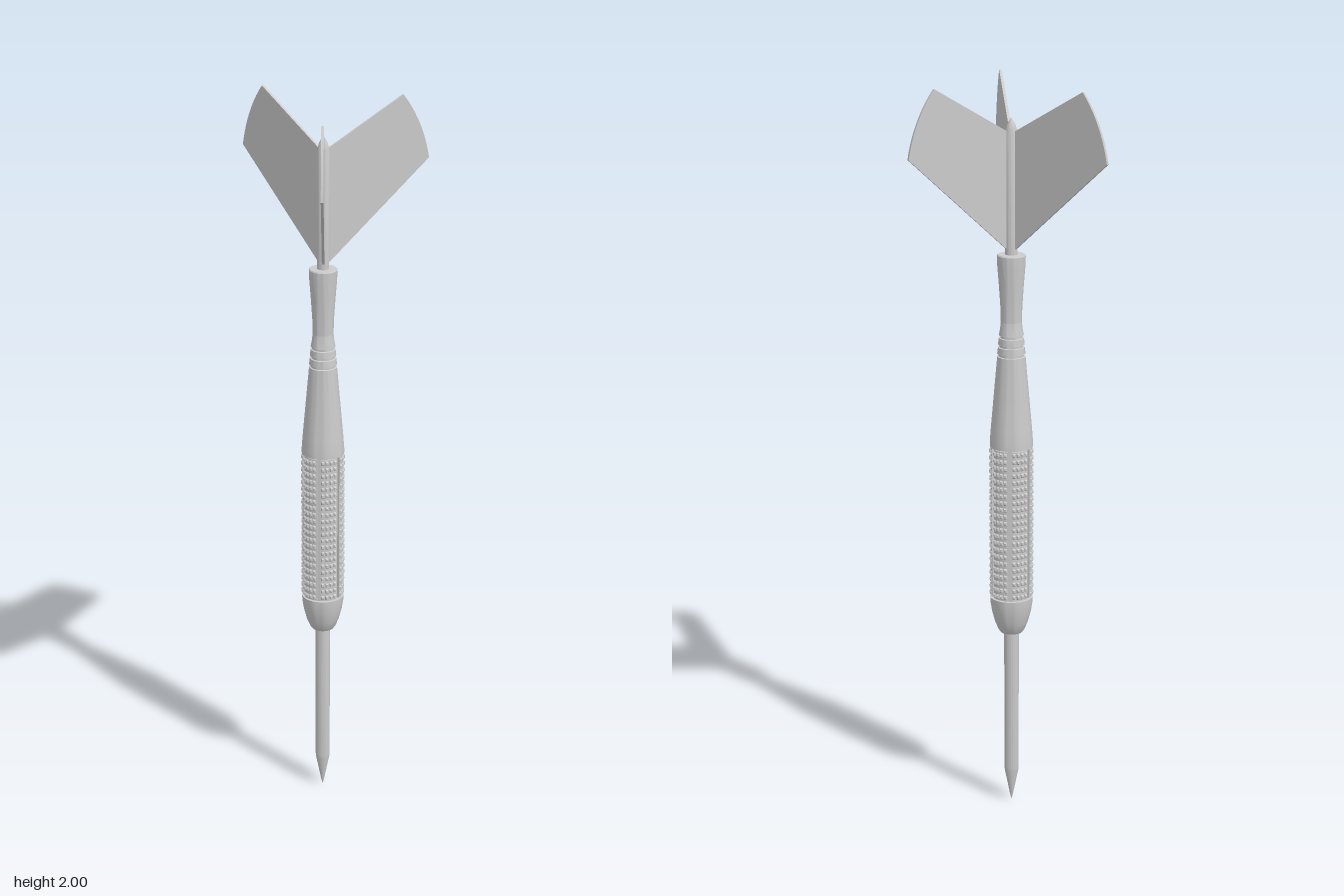
import * as THREE from 'three';
import { mergeGeometries, toCreasedNormals } from 'three/addons/utils/BufferGeometryUtils.js';

const material = new THREE.MeshStandardMaterial({ color: 0xcccccc });
const AXIS_X = 0.006, AXIS_Z = -0.063;

function part(parent, name, geometry) {
  const mesh = new THREE.Mesh(geometry, material);
  mesh.name = name;
  parent.add(mesh);
  return mesh;
}

// turned part from [radius, height] pairs, listed from bottom to top
function turned(points, sides = 40) {
  const profile = points.map(([r, y]) => new THREE.Vector2(r, y));
  return toCreasedNormals(new THREE.LatheGeometry(profile, sides), 0.5);
}

// six knurled panels: a curved plate each, covered by rows of small pyramids
function gripPanels() {
  const panels = 6, rows = 22, columns = 4;
  const y0 = 0.605, y1 = 1.025, arc = 0.84;
  const pieces = [];
  const pitch = (y1 - y0) / rows;
  for (let p = 0; p < panels; p++) {
    const middle = ((p + 0.5) / panels) * Math.PI * 2;
    const plate = new THREE.Shape();
    plate.absarc(0, 0, 0.055, -arc / 2, arc / 2, false);
    plate.absarc(0, 0, 0.048, arc / 2, -arc / 2, true);
    const slab = new THREE.ExtrudeGeometry(plate, { depth: y1 - y0, bevelEnabled: false, curveSegments: 6 });
    slab.rotateX(-Math.PI / 2).rotateY(middle - Math.PI / 2).translate(0, y0, 0);
    pieces.push(slab);
    for (let row = 0; row < rows; row++) {
      for (let c = 0; c < columns; c++) {
        const stud = new THREE.CylinderGeometry(0.003, 0.0075, 0.006, 4, 1).toNonIndexed();
        stud.rotateY(Math.PI / 4).rotateX(Math.PI / 2);
        stud.scale(1, 1.3, 1).translate(0, 0, 0.0565);
        stud.rotateY(middle + ((c + 0.5) / columns - 0.5) * arc);
        stud.translate(0, y0 + (row + 0.5) * pitch, 0);
        pieces.push(stud);
      }
    }
  }
  const merged = mergeGeometries(pieces);
  merged.computeVertexNormals();
  return merged;
}

// thin vane: slanted lower edge, bowed outer edge, sloping top
function finGeometry(thickness) {
  const s = new THREE.Shape();
  s.moveTo(0, 1.555);
  s.lineTo(0.02, 1.57);
  s.lineTo(0.315, 1.825);
  s.quadraticCurveTo(0.297, 1.925, 0.236, 2.0);
  s.lineTo(0.012, 1.875);
  s.lineTo(0, 1.875);
  const g = new THREE.ExtrudeGeometry(s, { depth: thickness, bevelEnabled: false, curveSegments: 10 });
  return g.translate(0, 0, -thickness / 2);
}

export function createModel() {
  const model = new THREE.Group();
  model.name = 'dart';
  const body = new THREE.Group();
  body.name = 'body';
  body.position.set(AXIS_X, 0, AXIS_Z);
  model.add(body);

  // needle
  part(body, 'point', turned([[0, 0], [0.004, 0.015], [0.019, 0.09], [0.02, 0.1], [0.02, 0.52]], 24));

  // rounded nose and grooved barrel core
  part(body, 'nose', turned([
    [0, 0.5], [0.03, 0.5], [0.036, 0.508], [0.045, 0.53], [0.053, 0.56], [0.057, 0.585], [0.058, 0.602], [0.045, 0.602],
  ]));
  part(body, 'barrelCore', turned([[0.049, 0.595], [0.049, 1.035]]));
  part(body, 'gripPanels', gripPanels());

  // tapering neck with three cut rings
  const neck = [[0.045, 1.028], [0.058, 1.028], [0.058, 1.04], [0.055, 1.08]];
  for (const y of [1.28, 1.305, 1.33]) {
    const r = 0.055 - (y - 1.08) * 0.087;
    neck.push([r, y - 0.004], [r - 0.004, y - 0.003], [r - 0.004, y + 0.003], [r, y + 0.004]);
  }
  neck.push([0.03, 1.35], [0.028, 1.37]);
  part(body, 'neck', turned(neck));

  // flared collar holding the shaft
  part(body, 'collar', turned([
    [0.028, 1.37], [0.029, 1.41], [0.033, 1.47], [0.037, 1.52], [0.038, 1.548], [0.036, 1.551], [0, 1.551],
  ]));
  part(body, 'shaft', turned([[0.016, 1.54], [0.016, 1.875], [0.011, 1.893], [0, 1.912]], 24));

  // three unevenly spread fins
  const flight = new THREE.Group();
  flight.name = 'flight';
  body.add(flight);
  const fins = [['leftFin', -33.3, 0.945], ['rightFin', 215.7, 1.01], ['frontFin', 78.3, 1.01]];
  for (const [name, degrees, reach] of fins) {
    const fin = part(flight, name, finGeometry(0.007));
    fin.rotation.y = -THREE.MathUtils.degToRad(degrees);
    fin.scale.x = reach;
  }
  return model;
}
